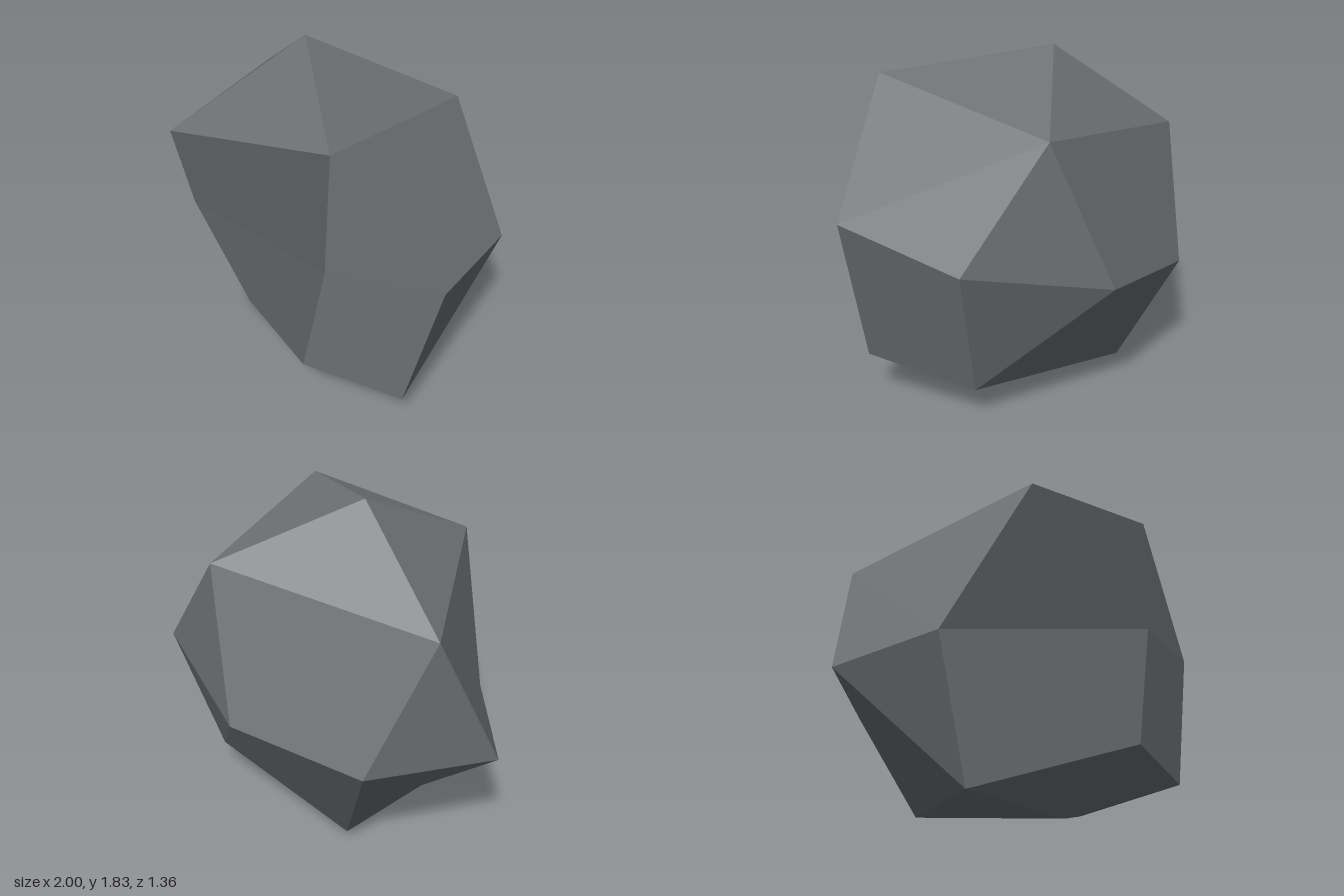
import * as THREE from 'three';

// Corners of the boulder
const corners = {
  A: [-0.16, 1.832, -0.015], B: [0.46, 1.71, 0.68], C: [-0.49, 1.505, 0.68],
  D: [-0.735, 1.34, -0.45], E: [-1, 0.6, -0.185], F: [-0.745, 0.73, 0.295],
  G: [-0.46, 0.025, 0.2], H: [0.19, 0, 0.25], I: [0.29, 0.32, 0.68],
  J: [0.82, 0.255, 0.545], K: [0.72, 0.18, -0.085], L: [1, 1.06, 0.53],
  M: [0.43, 1.02, 0.68], N: [0.53, 1.51, -0.41], O: [0.96, 0.92, -0.185],
  P: [0.31, 0.73, -0.665], Q: [-0.45, 0.62, -0.68], R: [-0.245, 0.045, -0.405],
};

// Facets, each a triangle, or a quad that is split from its first corner
const facets = [
  'ACB', 'ACD', 'ADN', 'ANB',                           // crown
  'BMFC', 'FGIM', 'BML', 'MIJL',                        // front
  'LONB', 'JKOL', 'NOP', 'OKP',                         // left flank
  'DEFC', 'DQE', 'EFG', 'QRGE',                         // right flank
  'DNPQ', 'PKRQ',                                       // back
  'IJHG', 'HJK', 'RGHK',                                // underside
];

// One flat normal per facet, turned away from the middle
function facetedGeometry() {
  const position = [], normal = [];
  const middle = new THREE.Vector3(0, 0.9, 0);
  for (const facet of facets) {
    let p = [...facet].map((k) => new THREE.Vector3(...corners[k]));
    const n = new THREE.Vector3();
    p.forEach((v, i) => n.add(v.clone().cross(p[(i + 1) % p.length])));
    n.normalize();
    if (n.dot(p[0].clone().sub(middle)) < 0) {
      n.negate();
      p = [p[0], ...p.slice(1).reverse()];
    }
    for (let i = 1; i < p.length - 1; i++) {
      for (const v of [p[0], p[i], p[i + 1]]) {
        position.push(v.x, v.y, v.z);
        normal.push(n.x, n.y, n.z);
      }
    }
  }
  const geometry = new THREE.BufferGeometry();
  geometry.setAttribute('position', new THREE.Float32BufferAttribute(position, 3));
  geometry.setAttribute('normal', new THREE.Float32BufferAttribute(normal, 3));
  return geometry;
}

export function createModel() {
  const stone = new THREE.MeshStandardMaterial({ color: 0x6e7073 });
  stone.name = 'grey stone';
  const boulder = new THREE.Mesh(facetedGeometry(), stone);
  boulder.name = 'boulder';
  const group = new THREE.Group();
  group.name = 'rock';
  group.add(boulder);
  return group;
}
